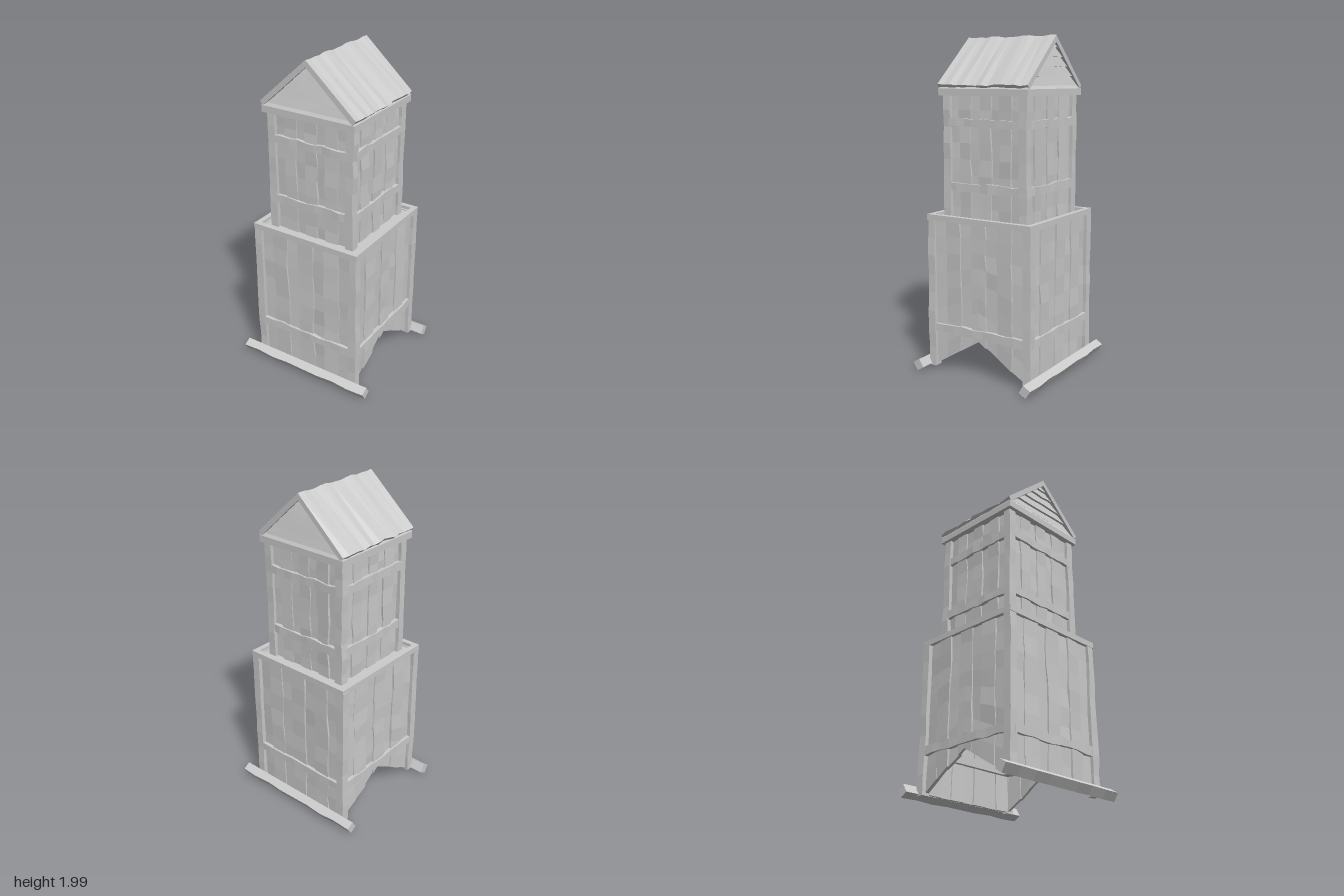
import * as THREE from 'three';

export function createModel() {
  const model = new THREE.Group();
  model.name = 'woodenTower';
  const mat = new THREE.MeshStandardMaterial({ color: 0xcccccc, flatShading: true });

  let seed = 7;
  const rand = () => {
    seed = (seed * 16807) % 2147483647;
    return seed / 2147483647 - 0.5;
  };

  const add = (parent, name, geo, x = 0, y = 0, z = 0) => {
    const mesh = new THREE.Mesh(geo, mat);
    mesh.name = name;
    mesh.position.set(x, y, z);
    parent.add(mesh);
    return mesh;
  };

  // Upright board whose side edges and face wander a little, as if hand cut
  const board = (w, h, d, wobble = 0.01, segs = 6) => {
    const geo = new THREE.BoxGeometry(w, h, d, 2, segs, 1);
    const rows = Array.from({ length: segs + 1 }, () => [rand(), rand(), rand()]);
    const p = geo.attributes.position;
    for (let i = 0; i < p.count; i++) {
      const row = rows[Math.round((p.getY(i) / h + 0.5) * segs)];
      const x = p.getX(i), z = p.getZ(i);
      if (Math.abs(x) > 1e-5) p.setX(i, x + wobble * (x < 0 ? row[0] : row[1]));
      if (z > 0) p.setZ(i, z + wobble * 0.5 * row[2]);
    }
    return geo;
  };

  // Stretch an upright board so its lower end follows bottom(x)
  const cutBottom = (geo, x0, h, top, bottom) => {
    const p = geo.attributes.position;
    for (let i = 0; i < p.count; i++) {
      const low = bottom(p.getX(i) + x0);
      p.setY(i, low + (p.getY(i) / h + 0.5) * (top - low));
    }
    return geo;
  };

  // One storey: four plank walls with cross bands, and four corner posts
  const storey = (name, half, y0, y1, count, bands, notched, inner) => {
    const group = new THREE.Group();
    group.name = name;
    model.add(group);
    const span = 2 * (half - 0.045), w = span / count;
    for (let k = 0; k < 4; k++) {
      const wall = new THREE.Group();
      wall.name = 'wall' + k;
      wall.rotation.y = k * Math.PI / 2;
      group.add(wall);
      const notch = notched && k % 2 === 1;
      const bottom = (x) => (notch ? Math.max(y0, 0.23 - 0.61 * Math.abs(x)) : y0 + 0.01);
      for (let i = 0; i < count; i++) {
        const x = -span / 2 + w * (i + 0.5);
        const geo = cutBottom(board(w + 0.012, 1, 0.02, 0.014, 8), x, 1, y1, bottom);
        const mid = i === (count - 1) / 2;
        const plank = add(wall, 'plank', geo, x, 0, half - 0.032 + (i % 2) * 0.008);
        plank.rotation.y = mid ? 0 : rand() * 0.16;
      }
      for (const y of bands) {
        const band = add(wall, 'crossBand', board(0.05, span + 0.015, 0.025, 0.012, 9), 0, y, half - 0.014);
        band.rotation.z = Math.PI / 2;
        if (inner) add(wall, 'innerBand', new THREE.BoxGeometry(span, 0.05, 0.025), 0, y, half - 0.053);
      }
      const post = add(wall, 'cornerPost', board(0.05, y1 - y0, 0.05, 0.01, 8),
        half - 0.026, (y0 + y1) / 2, half - 0.026);
      post.rotation.y = 0;
    }
    return group;
  };

  const lower = storey('lowerStorey', 0.36, 0.025, 0.94, 7, [0.275], true, true);
  storey('upperStorey', 0.287, 0.9, 1.67, 7, [1.125, 1.5], false, false);

  // Square rim and deck on top of the lower storey
  const square = (s) => [[-s, -s], [s, -s], [s, s], [-s, s]].map(([x, y]) => new THREE.Vector2(x, y));
  const rimShape = new THREE.Shape(square(0.36));
  rimShape.holes.push(new THREE.Path(square(0.328)));
  const rimGeo = new THREE.ExtrudeGeometry(rimShape, { depth: 0.035, bevelEnabled: false });
  rimGeo.rotateX(-Math.PI / 2);
  add(lower, 'topRim', rimGeo, 0, 0.925, 0);
  add(lower, 'deck', new THREE.BoxGeometry(0.65, 0.025, 0.65), 0, 0.922, 0);

  // Tilted ground beams at front and back
  for (const s of [1, -1]) {
    const geo = new THREE.BoxGeometry(0.895, 0.056, 0.052, 8, 1, 1);
    const p = geo.attributes.position;
    for (let i = 0; i < p.count; i++) {
      const x = p.getX(i);
      if (Math.abs(x) < 0.4 && p.getZ(i) * s > 0) p.setZ(i, p.getZ(i) + s * 0.004 * Math.sin(x * 23));
    }
    const beam = add(model, 'groundBeam', geo, 0, 0.045, s * 0.377);
    beam.rotation.x = s * 0.55;
  }

  // Eaves frame with a chamfered upper edge
  const roof = new THREE.Group();
  roof.name = 'roof';
  model.add(roof);
  add(roof, 'eavesFrame', new THREE.BoxGeometry(0.61, 0.04, 0.61), 0, 1.675, 0);
  const chamfer = new THREE.CylinderGeometry(0.293 * Math.SQRT2, 0.305 * Math.SQRT2, 0.02, 4);
  chamfer.rotateY(Math.PI / 4);
  add(roof, 'eavesChamfer', chamfer, 0, 1.705, 0);

  // Two uneven roof slopes meeting at a ridge that runs front to back
  const segs = 14;
  const ridge = Array.from({ length: segs + 1 }, () => rand() * 0.01);
  for (const s of [1, -1]) {
    const geo = new THREE.BoxGeometry(1, 1, 0.61, 1, 1, segs);
    const rows = Array.from({ length: segs + 1 }, () => [rand() * 0.014, rand() * 0.012]);
    const p = geo.attributes.position;
    for (let i = 0; i < p.count; i++) {
      const r = Math.round((p.getZ(i) / 0.61 + 0.5) * segs);
      const eave = s * p.getX(i) > 0, topSide = p.getY(i) > 0;
      let x = 0, y = topSide ? 1.995 + ridge[r] : 1.957;
      if (eave) {
        x = (topSide ? 0.313 : 0.293) + rows[r][0];
        y = topSide ? 1.717 + rows[r][1] : 1.694;
      }
      p.setXY(i, s * x, y);
    }
    add(roof, 'roofSlope', geo);
  }

  // Overlapping horizontal boards closing each gable
  const edges = [1.712, 1.765, 1.82, 1.875, 1.925, 1.965];
  for (const s of [1, -1]) {
    for (let n = 0; n < 5; n++) {
      const geo = new THREE.BoxGeometry(1, 1, 0.014, 4, 1, 1);
      const lift = Array.from({ length: 5 }, () => rand() * 0.008);
      const p = geo.attributes.position;
      for (let i = 0; i < p.count; i++) {
        const up = p.getY(i) > 0;
        const y = up ? edges[n + 1] + 0.006 : edges[n] + lift[Math.round((p.getX(i) + 0.5) * 4)];
        const halfWidth = Math.max(0.004, (1.972 - y) / 0.9);
        p.setXYZ(i, p.getX(i) * 2 * halfWidth, y, p.getZ(i) + s * (up ? 0.272 : 0.288));
      }
      add(roof, 'gableBoard', geo);
    }
  }
  return model;
}
